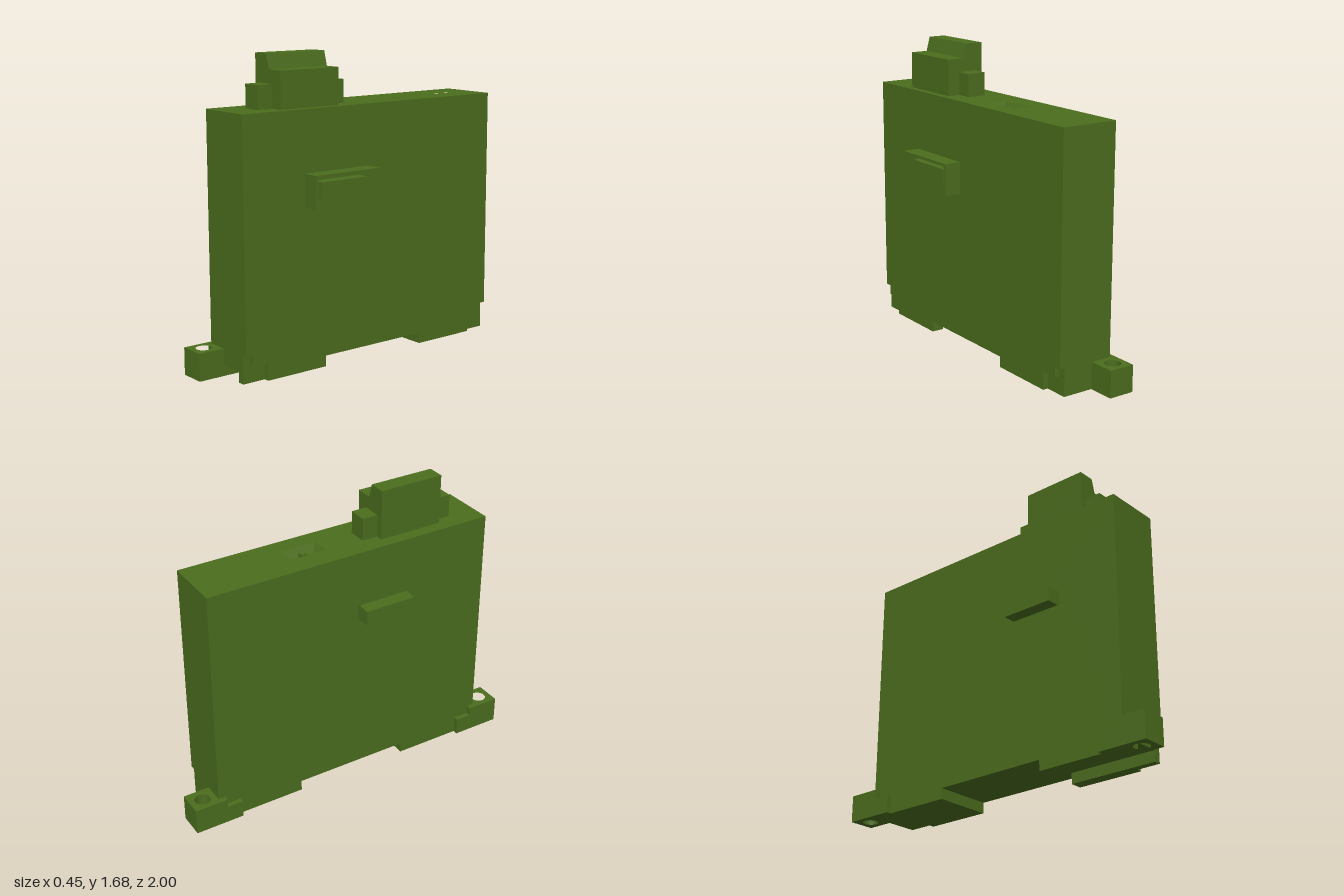
import * as THREE from 'three';

const material = new THREE.MeshStandardMaterial({ color: 0x4b6d1e, flatShading: true });

// Rectangle as corner points
const rect = (a0, a1, b0, b1) => [[a0, b0], [a1, b0], [a1, b1], [a0, b1]];

function makeShape(points, holes, flip) {
  const toVectors = (pts) => pts.map(([a, b]) => new THREE.Vector2(a * flip[0], b * flip[1]));
  const shape = new THREE.Shape(toVectors(points));
  for (const h of holes) shape.holes.push(new THREE.Path(toVectors(h)));
  return shape;
}

// Extrude a (z, y) profile from x0 to x1
function alongX(points, x0, x1, holes = []) {
  const geo = new THREE.ExtrudeGeometry(makeShape(points, holes, [-1, 1]), { depth: x1 - x0, bevelEnabled: false });
  return geo.rotateY(Math.PI / 2).translate(x0, 0, 0);
}

// Extrude an (x, z) outline from y0 to y1
function alongY(points, y0, y1, holes = []) {
  const geo = new THREE.ExtrudeGeometry(makeShape(points, holes, [1, -1]), { depth: y1 - y0, bevelEnabled: false });
  return geo.rotateX(-Math.PI / 2).translate(0, y0, 0);
}

function box(x0, x1, y0, y1, z0, z1) {
  return new THREE.BoxGeometry(x1 - x0, y1 - y0, z1 - z0)
    .translate((x0 + x1) / 2, (y0 + y1) / 2, (z0 + z1) / 2);
}

// Circle as corner points
function ring(cx, cz, r, n) {
  return Array.from({ length: n }, (_, i) => {
    const a = (i / n) * Math.PI * 2;
    return [cx + r * Math.cos(a), cz + r * Math.sin(a)];
  });
}

// Sloped walls and floor between an upper and a lower rectangle, facing inward
function funnel(top, yTop, bottom, yBottom) {
  const p = [...top.map(([x, z]) => [x, yTop, z]), ...bottom.map(([x, z]) => [x, yBottom, z])];
  const index = [4, 6, 5, 4, 7, 6];
  for (let i = 0; i < 4; i++) {
    const j = (i + 1) % 4;
    index.push(i, i + 4, j, j, i + 4, j + 4);
  }
  const geo = new THREE.BufferGeometry();
  geo.setAttribute('position', new THREE.Float32BufferAttribute(p.flat(), 3));
  geo.setIndex(index);
  const flat = geo.toNonIndexed();
  flat.computeVertexNormals();
  return flat;
}

// Side profile of the housing: two feet with a gap between them
function housingProfile(top, frontFoot, notched) {
  const corner = (s) => notched
    ? [[s * 0.715, 0], [s * 0.715, 0.1], [s * 0.81, 0.1], [s * 0.81, 0.155], [s * 0.85, 0.155]]
    : [[s * 0.85, 0]];
  const front = frontFoot ? [[0.335, 0.06], [0.335, 0], ...corner(1)] : [[0.85, 0.06]];
  return [...front, [0.85, top], [-0.85, top], ...corner(-1).reverse(), [-0.335, 0], [-0.335, 0.06]];
}

export function createModel() {
  const model = new THREE.Group();
  const add = (name, geometry, mat = material) => {
    const mesh = new THREE.Mesh(geometry, mat);
    mesh.name = name;
    model.add(mesh);
  };

  // Housing in slices across its width
  const capBottom = 1.35;
  const full = housingProfile(capBottom, true, false);
  add('socketSideHousing', alongX(full, -0.2, -0.1, [rect(0, 0.49, 0.88, 1.085)]));
  add('innerHousing', alongX(full, -0.1, -0.08));
  add('groovedHousing', alongX(housingProfile(capBottom, false, false), -0.08, 0.06));
  add('outerHousing', alongX(full, 0.06, 0.1));
  add('plugSideHousing', alongX(housingProfile(capBottom, true, true), 0.1, 0.13));

  // Top plate with switch recess and indicator holes
  const recess = rect(-0.074, 0.03, -0.305, -0.097);
  const lights = [-0.66, -0.585, -0.51].map((z) => ring(-0.02, z, 0.011, 16));
  add('topPlate', alongY(rect(-0.2, 0.13, -0.85, 0.85), capBottom, 1.4, [recess, ...lights]));
  const doubleSided = material.clone();
  doubleSided.side = THREE.DoubleSide;
  add('switchRecess', funnel(recess, 1.4, rect(-0.048, 0.005, -0.277, -0.127), 1.355), doubleSided);
  add('switchKnob', box(-0.037, -0.006, 1.355, 1.385, -0.22, -0.185));

  // Terminal block on top, with a stepped profile and end blocks
  const terminal = new THREE.Shape([
    [-0.13, 1.4], [0.09, 1.4], [0.09, 1.6], [-0.01, 1.6], [-0.032, 1.68], [-0.13, 1.68],
  ].map(([x, y]) => new THREE.Vector2(x, y)));
  add('terminalBlock', new THREE.ExtrudeGeometry(terminal, { depth: 0.375, bevelEnabled: false }).translate(0, 0, 0.213));
  add('terminalFrontEnd', box(-0.09, 0.018, 1.4, 1.527, 0.588, 0.68));
  add('terminalBackEnd', box(-0.09, 0.018, 1.4, 1.527, 0.123, 0.213));

  // Side plug with a hollow rim, and the matching socket on the other side
  add('plugRim', alongX(rect(0.045, 0.468, 0.888, 1.065), 0.13, 0.225, [rect(0.062, 0.452, 0.904, 1.049)]));
  add('plugCore', box(0.13, 0.2, 0.935, 1.022, 0.105, 0.408));
  add('socketCore', box(-0.19, -0.1, 0.935, 1.022, 0.095, 0.4));

  // Mounting tabs with screw holes and locking lips, front and back
  for (const s of [1, -1]) {
    const end = s > 0 ? 'front' : 'back';
    add(end + 'MountingTab', alongY(rect(-0.228, -0.08, s * 0.85, s), 0, 0.15, [ring(-0.155, s * 0.925, 0.043, 32)]));
    const lip = [[0.85, 0], [0.85, 0.15], [0.81, 0.15], [0.81, 0.1], [0.72, 0.1], [0.72, 0]];
    add(end + 'LockingLip', alongX(lip.map(([z, y]) => [z * s, y]), -0.228, -0.2));
  }

  return model;
}
